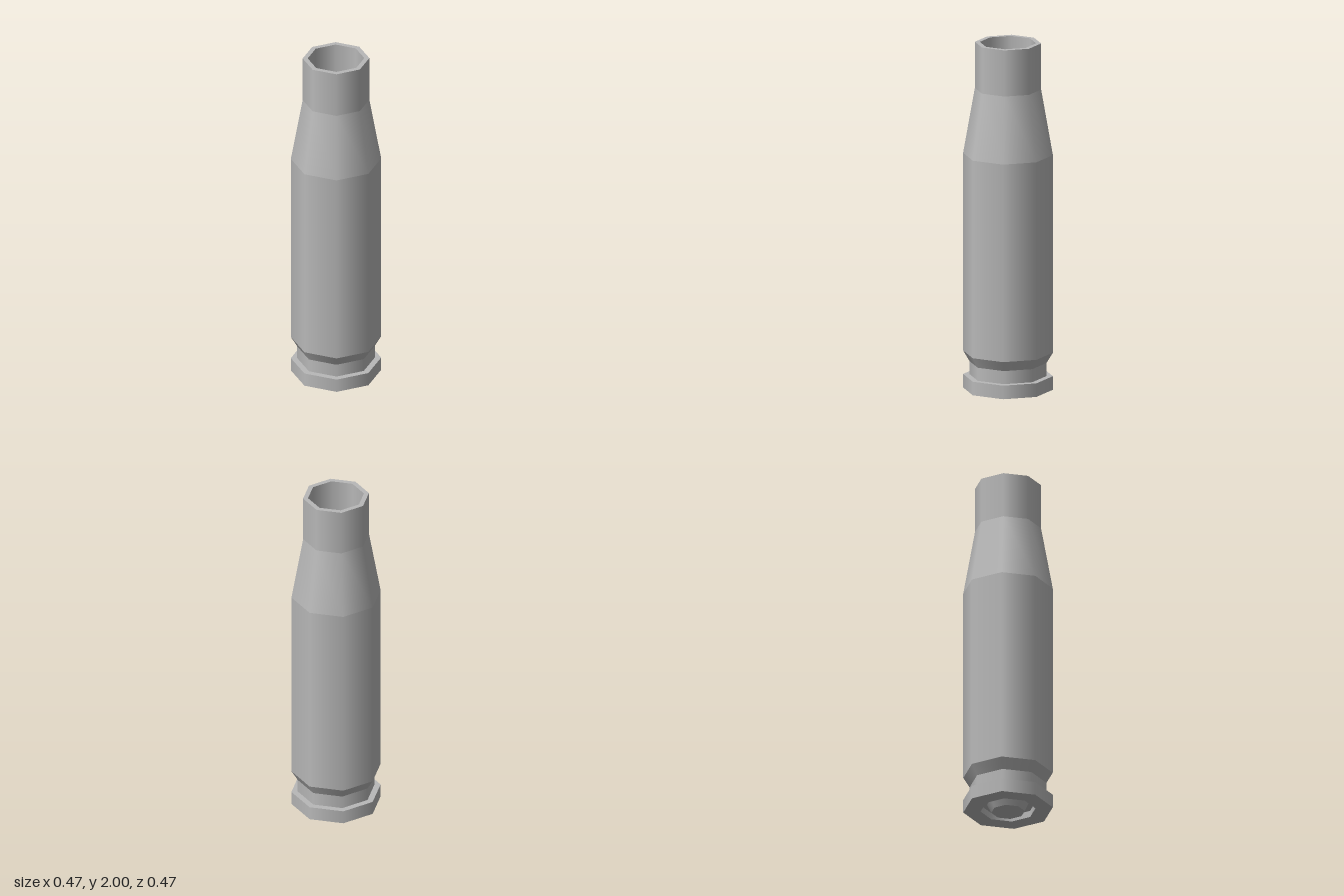
import * as THREE from 'three';
import { mergeGeometries } from 'three/addons/utils/BufferGeometryUtils.js';

const SIDES = 8;
const TO_CORNER = 1 / Math.cos(Math.PI / SIDES); // flat-to-flat radius -> corner radius

// Each profile segment becomes its own octagonal band: smooth around, sharp between bands.
function bands(profile) {
  const parts = [];
  for (let i = 0; i < profile.length - 1; i++) {
    const pts = [profile[i], profile[i + 1]].map(([r, y]) => new THREE.Vector2(r * TO_CORNER, y));
    parts.push(new THREE.LatheGeometry(pts, SIDES, Math.PI / SIDES));
  }
  return mergeGeometries(parts);
}

export function createModel() {
  const group = new THREE.Group();
  group.name = 'cartridgeCase';
  const metal = new THREE.MeshStandardMaterial({ color: 0xb8b8b8 });
  metal.name = 'grey metal';

  // Profiles are [radius to flat, height], running with the outside on the right
  const profiles = {
    primer: [[0, 0], [0.087, 0], [0.11, 0.05]],
    primerRecess: [[0.11, 0.05], [0.143, 0.05], [0.143, 0.012]],
    rim: [[0.143, 0.012], [0.233, 0.012], [0.233, 0.09], [0.2, 0.09]],
    extractorGroove: [[0.2, 0.09], [0.2, 0.165], [0.233, 0.225]],
    body: [[0.233, 0.225], [0.233, 1.36]],
    shoulder: [[0.233, 1.36], [0.172, 1.735]],
    neck: [[0.172, 1.735], [0.172, 2]],
    mouthLip: [[0.172, 2], [0.146, 2]],
    innerWall: [[0.146, 2], [0.146, 0.06]],
    innerFloor: [[0.146, 0.06], [0.11, 0.06], [0.087, 0.01], [0, 0.01]],
  };
  for (const [name, profile] of Object.entries(profiles)) {
    const mesh = new THREE.Mesh(bands(profile), metal);
    mesh.name = name;
    group.add(mesh);
  }
  return group;
}
